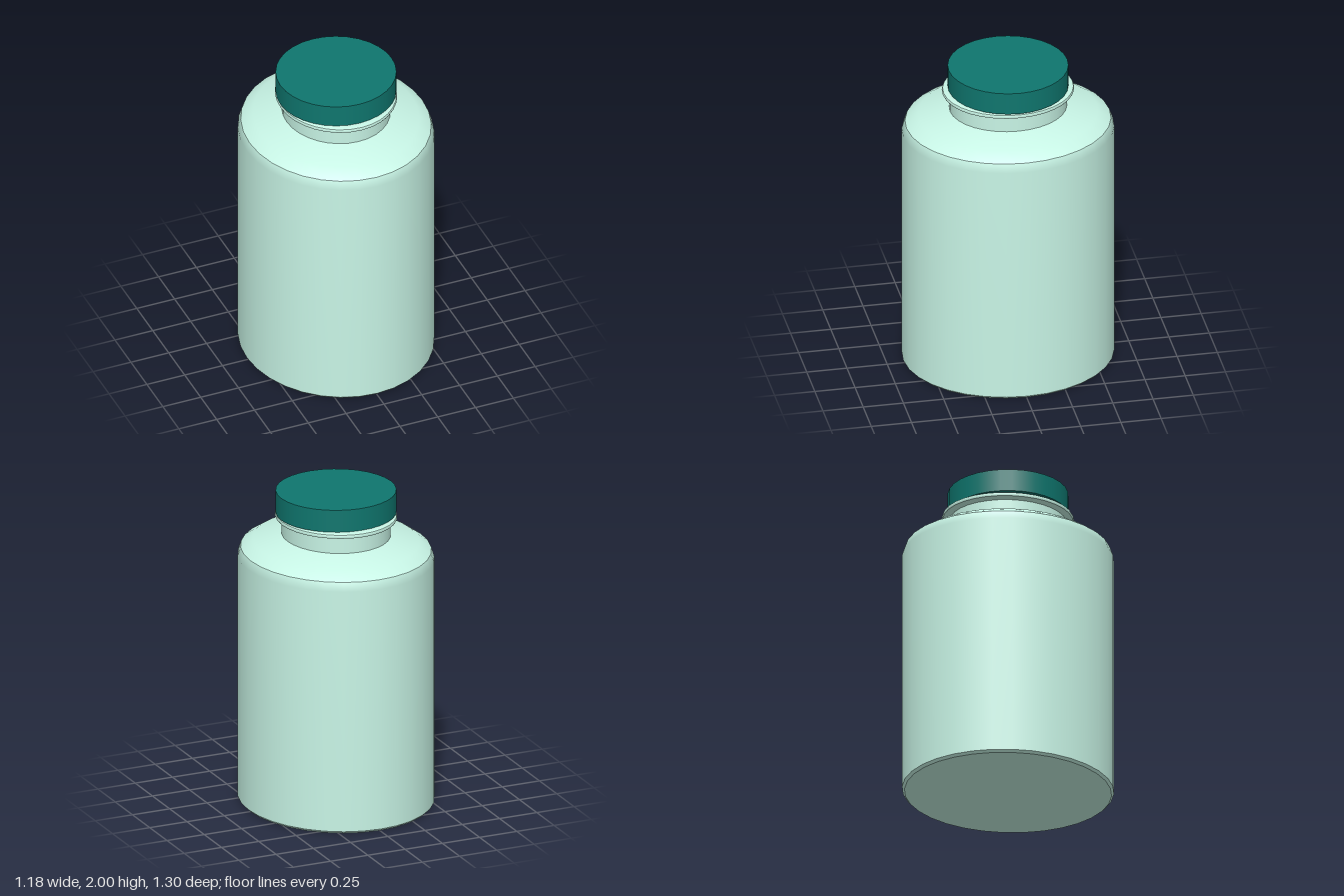
import * as THREE from 'three';
import { mergeGeometries } from 'three/addons/utils/BufferGeometryUtils.js';

const SIDES = 32;

// Turns each profile section separately: smooth inside a section, sharp between sections
function turned(name, sections, color, xScale = 1) {
  const parts = sections.map((pts) =>
    new THREE.LatheGeometry(pts.map(([r, y]) => new THREE.Vector2(r, y)), SIDES));
  const geometry = mergeGeometries(parts);
  geometry.scale(xScale, 1, 1);
  const mesh = new THREE.Mesh(geometry, new THREE.MeshStandardMaterial({ color }));
  mesh.name = name;
  return mesh;
}

export function createModel() {
  const group = new THREE.Group();
  group.name = 'bottle';
  const bodyColor = 0xc8f5e6, capColor = 0x0f766e;
  const oval = 0.907; // the bottle is narrower across x than along z

  // Base, wall with rounded top edge, and sloping shoulder
  group.add(turned('body', [
    [[0, 0], [0.635, 0]],
    [[0.635, 0], [0.65, 0.015]],
    [[0.65, 0.015], [0.65, 1.57], [0.63, 1.625]],
    [[0.63, 1.625], [0.55, 1.675], [0.36, 1.715]],
  ], bodyColor, oval));

  // Neck with the projecting collar under the cap
  group.add(turned('neck', [
    [[0.36, 1.715], [0.36, 1.815]],
    [[0.36, 1.815], [0.4, 1.825]],
    [[0.4, 1.825], [0.405, 1.835], [0.4, 1.847]],
    [[0.4, 1.847], [0.37, 1.857], [0, 1.857]],
  ], bodyColor, oval));

  // Round screw cap
  group.add(turned('cap', [
    [[0, 1.858], [0.368, 1.858]],
    [[0.368, 1.858], [0.368, 2]],
    [[0.368, 2], [0, 2]],
  ], capColor));

  return group;
}
